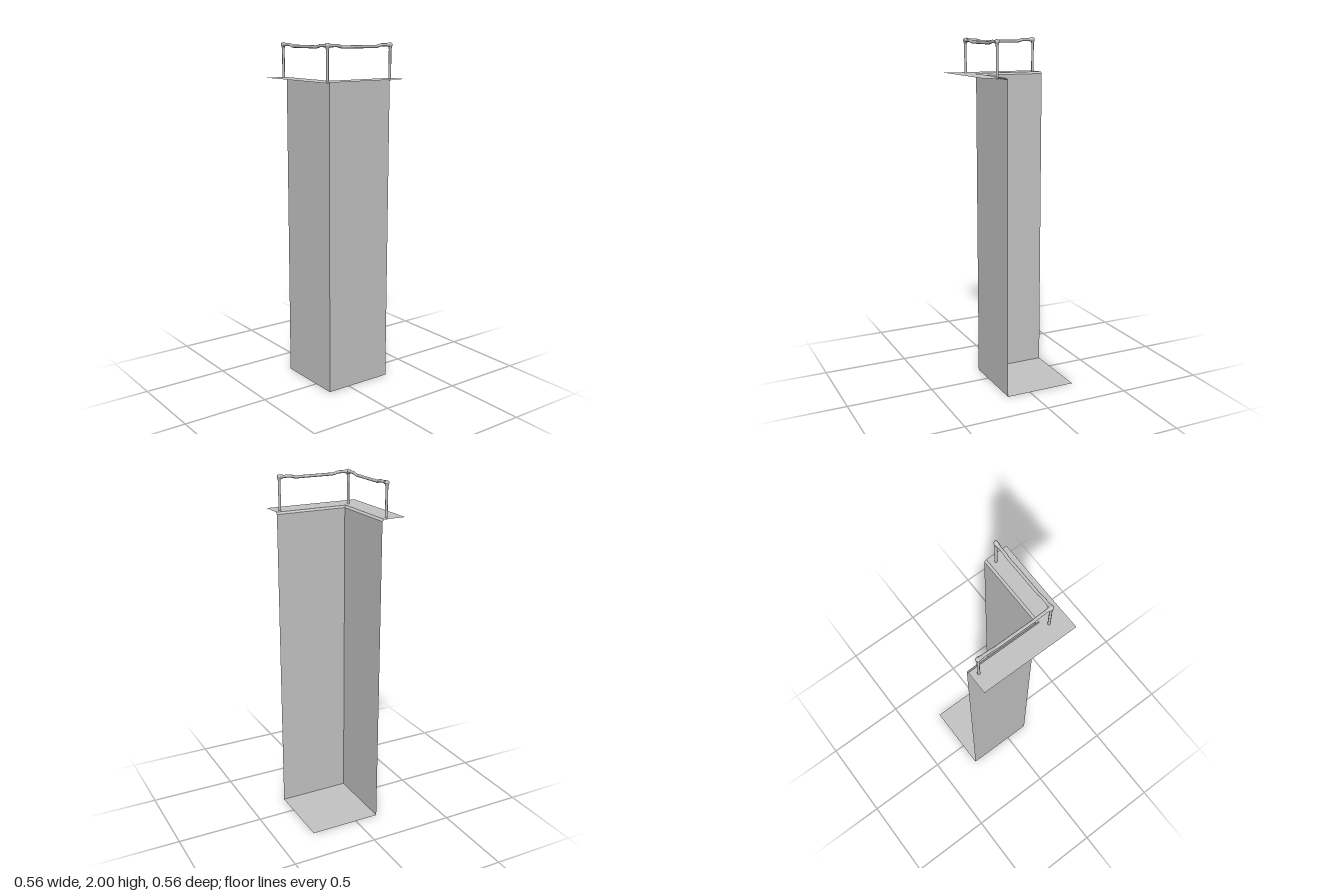
import * as THREE from 'three';

export function createModel() {
  const model = new THREE.Group();
  const grey = new THREE.MeshStandardMaterial({ color: 0xc4c4c4, side: THREE.DoubleSide });
  grey.name = 'plain grey';

  const add = (name, geometry, parent = model) => {
    const mesh = new THREE.Mesh(geometry, grey);
    mesh.name = name;
    parent.add(mesh);
    return mesh;
  };
  // Flat sheet from four corners, counter-clockwise seen from its front
  const sheet = (name, ...corners) => {
    const g = new THREE.BufferGeometry();
    g.setAttribute('position', new THREE.Float32BufferAttribute(corners.flat(), 3));
    g.setIndex([0, 1, 2, 0, 2, 3]);
    g.computeVertexNormals();
    add(name, g);
  };

  const E = 0.28, IN = 0.14, LIP = 0.152; // outer edge, wall line, ledge line
  const TOP = 1.803, WALL = 1.792;        // ledge height, wall height

  // Shaft floor and the two walls, faces towards the shaft
  sheet('floor', [-IN, 0, IN], [E, 0, IN], [E, 0, -E], [-IN, 0, -E]);
  sheet('frontWall', [E, 0, IN], [-IN, 0, IN], [-IN, WALL, IN], [E, WALL, IN]);
  sheet('sideWall', [-IN, 0, IN], [-IN, 0, -E], [-IN, WALL, -E], [-IN, WALL, IN]);

  // Chamfered lip, mitred at the corner
  sheet('frontLip', [E, WALL, IN], [-IN, WALL, IN], [-LIP, TOP, LIP], [E, TOP, LIP]);
  sheet('sideLip', [-IN, WALL, IN], [-IN, WALL, -E], [-LIP, TOP, -E], [-LIP, TOP, LIP]);

  // L-shaped ledge around the shaft
  const ledge = new THREE.Shape([
    [-E, -E], [E, -E], [E, -LIP], [-LIP, -LIP], [-LIP, E], [-E, E],
  ].map(([x, y]) => new THREE.Vector2(x, y)));
  add('ledge', new THREE.ShapeGeometry(ledge).rotateX(-Math.PI / 2).translate(0, TOP, 0));

  // Railing: posts, knobs and dipped handrails
  const P = 0.185, LEN = 0.427, KNOB = 1.987, BASE = 1.793, R = 0.0075;
  const post = (name, x, z) => {
    const g = new THREE.Group();
    g.name = name;
    g.position.set(x, 0, z);
    model.add(g);
    add('postBar', new THREE.CylinderGeometry(R, R, KNOB - BASE, 8), g).position.y = (KNOB + BASE) / 2;
    add('knob', new THREE.SphereGeometry(0.0135, 8, 6), g).position.y = KNOB;
    add('postCollar', new THREE.CylinderGeometry(0.012, R, 0.018, 8, 1, true), g).position.y = KNOB - 0.014;
  };
  post('cornerPost', -P, P);
  post('frontPost', LEN - P, P);
  post('backPost', -P, P - LEN);

  // Handrail runs along +x from the corner
  const rail = (name) => {
    const g = new THREE.Group();
    g.name = name;
    g.position.set(-P, KNOB, P);
    model.add(g);
    const pts = [[0, 0], [0.035, 0], [0.065, 0], [0.098, -0.008], [0.13, -0.008]];
    const path = [...pts, ...pts.map(([x, y]) => [LEN - x, y]).reverse()]
      .map(([x, y]) => new THREE.Vector3(x, y, 0));
    add('handrail', new THREE.TubeGeometry(new THREE.CatmullRomCurve3(path, false, 'centripetal'), 28, 0.0085, 8), g);
    // Tapered collars where the rail meets each knob
    for (const [x, turn] of [[0.016, 1], [LEN - 0.016, -1]]) {
      const collar = add('railCollar', new THREE.CylinderGeometry(0.0135, 0.0085, 0.022, 8, 1, true), g);
      collar.position.x = x;
      collar.rotation.z = turn * Math.PI / 2;
    }
    return g;
  };
  rail('frontHandrail');
  rail('sideHandrail').rotation.y = Math.PI / 2;

  return model;
}
